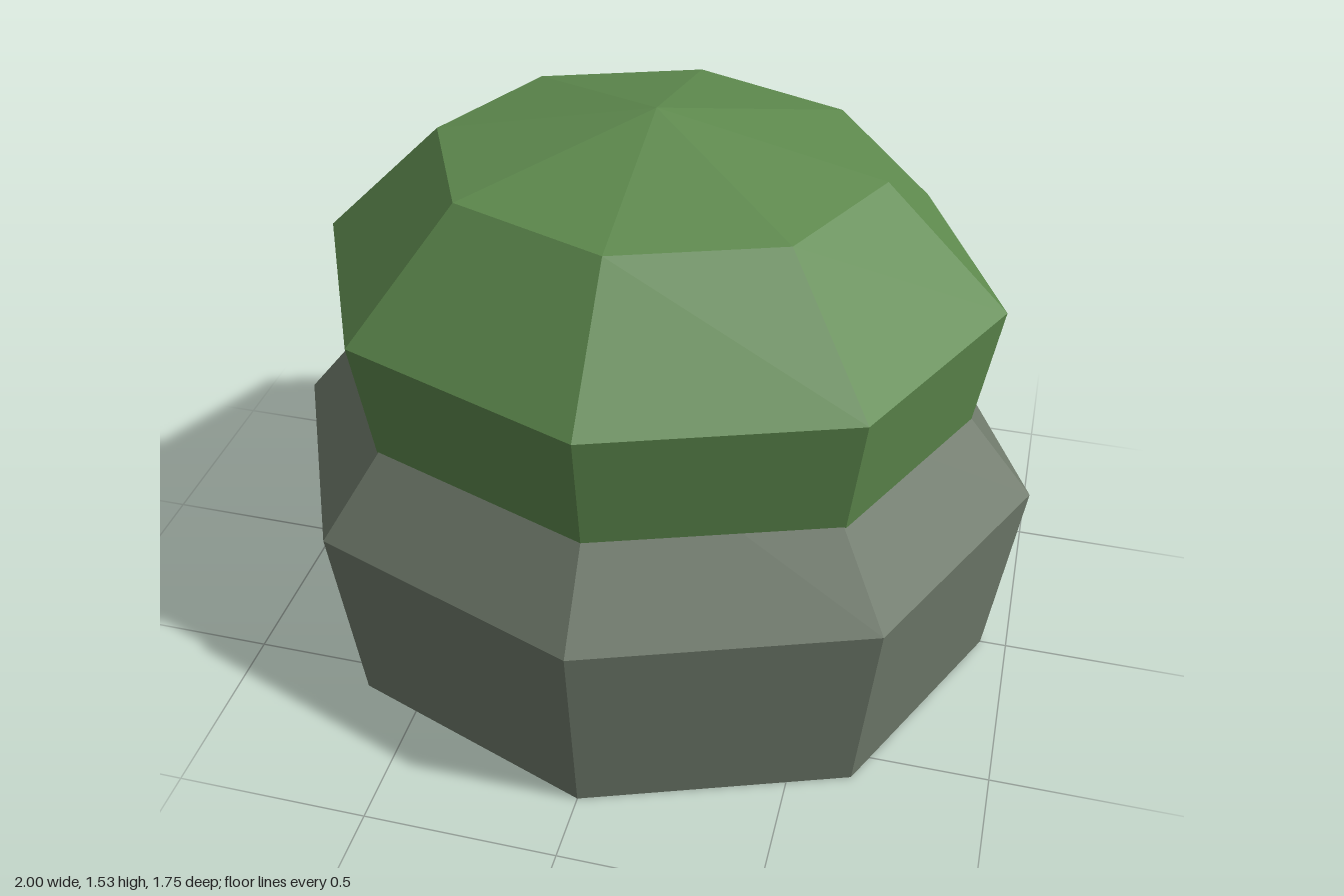
import * as THREE from 'three';

const rockGrey = new THREE.MeshStandardMaterial({ name: 'rockGrey', color: 0x707b6c });
const mossGreen = new THREE.MeshStandardMaterial({ name: 'mossGreen', color: 0x5e8a4e });

// Faceted eight-sided solid from a [radius, y] profile, squashed in depth
function facetedPart(name, profile, depth, material) {
  const points = profile.map(([r, y]) => new THREE.Vector2(r, y));
  const lathe = new THREE.LatheGeometry(points, 8);
  lathe.scale(1, 1, depth);
  const geometry = lathe.toNonIndexed();
  geometry.computeVertexNormals();
  const mesh = new THREE.Mesh(geometry, material);
  mesh.name = name;
  return mesh;
}

export function createModel() {
  const model = new THREE.Group();
  model.name = 'mossyRock';

  // Rock base: flat underside, shoulder, then a slope that tucks under the moss
  model.add(facetedPart('rock', [
    [0, 0], [0.93, 0], [1, 0.54], [0.64, 0.99], [0, 1.1],
  ], 0.877, rockGrey));

  // Moss cap: a low dome sunk into the rock, closed underneath
  model.add(facetedPart('mossCap', [
    [0, 0.71], [0.82, 0.71], [0.88, 1.085], [0.565, 1.405], [0, 1.53],
  ], 0.867, mossGreen));

  return model;
}
